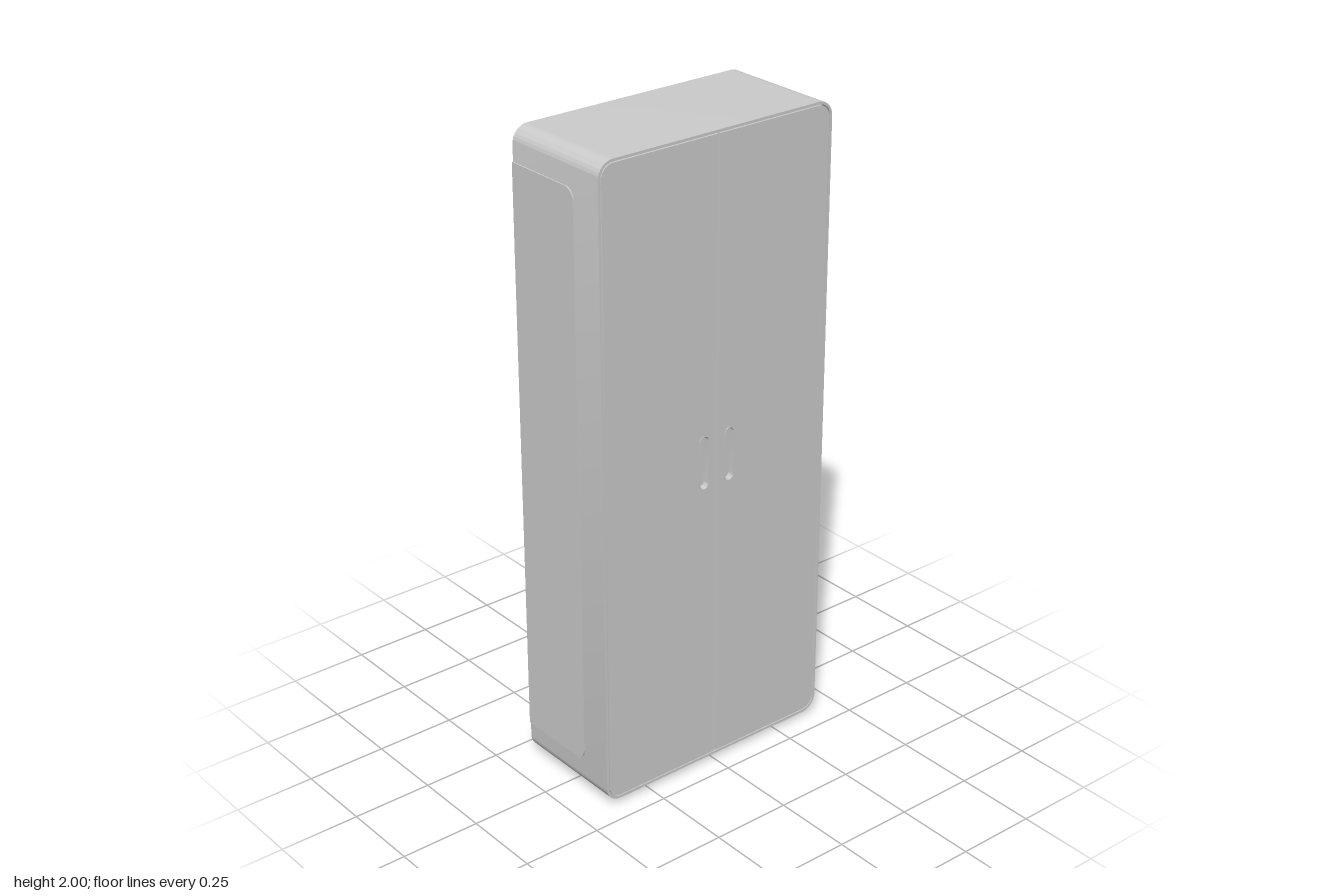
import * as THREE from 'three';
import { toCreasedNormals } from 'three/addons/utils/BufferGeometryUtils.js';

const grey = new THREE.MeshStandardMaterial({ color: 0xcccccc });

// Traces a rectangle with separate radii for its left and right corners.
function roundRect(path, x0, x1, y0, y1, rLeft, rRight) {
  path.moveTo(x0 + rLeft, y0);
  path.lineTo(x1 - rRight, y0);
  if (rRight) path.absarc(x1 - rRight, y0 + rRight, rRight, -Math.PI / 2, 0, false);
  path.lineTo(x1, y1 - rRight);
  if (rRight) path.absarc(x1 - rRight, y1 - rRight, rRight, 0, Math.PI / 2, false);
  path.lineTo(x0 + rLeft, y1);
  if (rLeft) path.absarc(x0 + rLeft, y1 - rLeft, rLeft, Math.PI / 2, Math.PI, false);
  path.lineTo(x0, y0 + rLeft);
  if (rLeft) path.absarc(x0 + rLeft, y0 + rLeft, rLeft, Math.PI, Math.PI * 1.5, false);
  return path;
}

function extrude(shape, depth) {
  const geo = new THREE.ExtrudeGeometry(shape, { depth, bevelEnabled: false, curveSegments: 12 });
  return toCreasedNormals(geo, 0.5);
}

// Extrudes a shape drawn in (-z, y) along x, from x0 to x1.
function alongX(name, shape, x0, x1) {
  const geo = extrude(shape, x1 - x0);
  geo.rotateY(Math.PI / 2);
  geo.translate(x0, 0, 0);
  const mesh = new THREE.Mesh(geo, grey);
  mesh.name = name;
  return mesh;
}

export function createModel() {
  const cabinet = new THREE.Group();
  cabinet.name = 'cabinet';
  const back = -0.188, front = 0.184, doorBack = 0.165;

  // Rounded outer shell with a thin rim around the doors
  const shell = roundRect(new THREE.Shape(), -0.41, 0.41, 0.018, 2, 0.05, 0.05);
  shell.holes.push(roundRect(new THREE.Path(), -0.402, 0.402, 0.026, 1.992, 0.042, 0.042));
  cabinet.add(alongX('shell', shell, back, front));

  // Solid core, closing the back and the bottoms of the grip recesses
  const core = roundRect(new THREE.Shape(), -0.402, 0.402, 0.026, 1.992, 0.042, 0.042);
  cabinet.add(alongX('core', core, back, doorBack));

  for (const side of [-1, 1]) {
    const label = side > 0 ? 'Right' : 'Left';

    // Door with a recessed grip
    const [a, b] = side > 0 ? [0.003, 0.399] : [-0.399, -0.003];
    const [rl, rr] = side > 0 ? [0, 0.039] : [0.039, 0];
    const door = roundRect(new THREE.Shape(), a, b, 0.029, 1.989, rl, rr);
    const mid = side * 0.0465;
    const grip = (path, w, h) => roundRect(path, mid - w, mid + w, 1.02 - h, 1.02 + h, w, w);
    door.holes.push(grip(new THREE.Path(), 0.0145, 0.083));
    cabinet.add(alongX('door' + label, door, doorBack, front));

    // Slightly raised rim of the grip
    const rim = grip(new THREE.Shape(), 0.017, 0.0855);
    rim.holes.push(grip(new THREE.Path(), 0.0145, 0.083));
    cabinet.add(alongX('gripRim' + label, rim, front - 0.004, front + 0.002));

    // Thin panel laid on the outer side
    const panel = roundRect(new THREE.Shape(), back, 0.08, 0.115, 1.9, 0, 0.035);
    const panelGeo = extrude(panel, 0.006);
    panelGeo.translate(0, 0, side > 0 ? 0.408 : -0.414);
    const sidePanel = new THREE.Mesh(panelGeo, grey);
    sidePanel.name = 'sidePanel' + label;
    cabinet.add(sidePanel);

    // Flat runner foot
    const foot = new THREE.Mesh(new THREE.BoxGeometry(0.34, 0.022, 0.07), grey);
    foot.name = 'foot' + label;
    foot.position.set(-0.005, 0.011, side * 0.305);
    cabinet.add(foot);
  }
  return cabinet;
}
